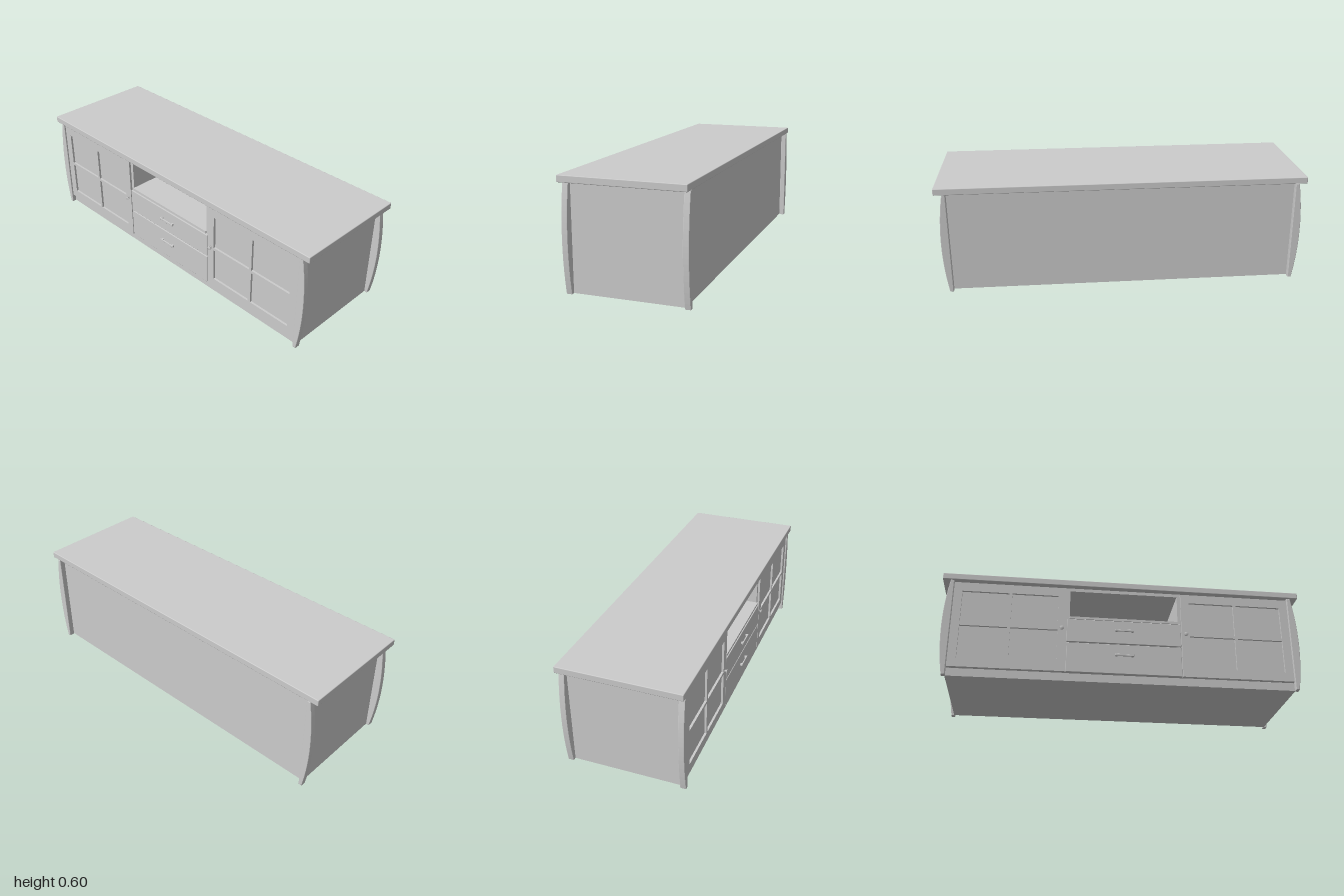
import * as THREE from 'three';
import { RoundedBoxGeometry } from 'three/addons/geometries/RoundedBoxGeometry.js';

const grey = new THREE.MeshStandardMaterial({ color: 0xcccccc });

// Built with its doors facing local +z, then turned so they face -x.
export function createModel() {
  const root = new THREE.Group();
  const cabinet = new THREE.Group();
  cabinet.name = 'mediaCabinet';
  cabinet.rotation.y = -Math.PI / 2;
  root.add(cabinet);

  const add = (name, geometry, x = 0, y = 0, z = 0) => {
    const mesh = new THREE.Mesh(geometry, grey);
    mesh.name = name;
    mesh.position.set(x, y, z);
    cabinet.add(mesh);
    return mesh;
  };
  // Box given by its limits; radius > 0 rounds the edges
  const box = (name, x0, x1, y0, y1, z0, z1, radius = 0) => {
    const size = [x1 - x0, y1 - y0, z1 - z0];
    const geometry = radius
      ? new RoundedBoxGeometry(...size, 2, radius)
      : new THREE.BoxGeometry(...size);
    return add(name, geometry, (x0 + x1) / 2, (y0 + y1) / 2, (z0 + z1) / 2);
  };

  // Top board
  box('topBoard', -1, 1, 0.564, 0.6, -0.327, 0.327, 0.004);

  // Carcass panels
  box('backPanel', -0.94, 0.94, 0.002, 0.564, -0.295, -0.28);
  box('floorPanel', -0.94, 0.94, 0.002, 0.05, -0.28, 0.288);
  box('plinth', -0.94, 0.94, 0.002, 0.045, 0.288, 0.296);
  box('topRail', -0.94, 0.94, 0.545, 0.564, -0.28, 0.296);
  for (const s of [-1, 1]) {
    const a = s * 0.94, b = s * 0.92;
    box('sidePanel', Math.min(a, b), Math.max(a, b), 0.002, 0.564, -0.28, 0.288);
    box('divider', s * 0.31 - 0.01, s * 0.31 + 0.01, 0.05, 0.545, -0.28, 0.3);
  }

  // Corner posts with a bowed outer edge
  const bevel = 0.003;
  const postShape = new THREE.Shape();
  postShape.moveTo(0.94, bevel);
  postShape.lineTo(0.957 - bevel, bevel);
  postShape.quadraticCurveTo(1.007 - bevel, 0.282, 0.957 - bevel, 0.564 - bevel);
  postShape.lineTo(0.94, 0.564 - bevel);
  postShape.closePath();
  const postGeometry = new THREE.ExtrudeGeometry(postShape, {
    depth: 0.032 - 2 * bevel, curveSegments: 20,
    bevelThickness: bevel, bevelSize: bevel, bevelSegments: 2,
  });
  postGeometry.translate(0, 0, -0.016 + bevel);
  for (const z of [0.304, -0.311]) {
    add('leftPost', postGeometry, 0, 0, z);
    add('rightPost', postGeometry, 0, 0, z).rotation.y = Math.PI;
  }

  // Doors: frame with four panes
  const rectangle = (target, x0, x1, y0, y1) => {
    target.moveTo(x0, y0);
    target.lineTo(x1, y0);
    target.lineTo(x1, y1);
    target.lineTo(x0, y1);
    target.closePath();
    return target;
  };
  const doorShape = rectangle(new THREE.Shape(), -0.308, 0.308, 0.05, 0.552);
  for (const [x0, x1] of [[-0.262, -0.008], [0.008, 0.262]]) {
    for (const [y0, y1] of [[0.1, 0.293], [0.309, 0.502]]) {
      doorShape.holes.push(rectangle(new THREE.Path(), x0, x1, y0, y1));
    }
  }
  const doorGeometry = new THREE.ExtrudeGeometry(doorShape, { depth: 0.022, bevelEnabled: false });

  // Door knob, flared towards the front
  const knobGeometry = new THREE.LatheGeometry([
    [0, 0], [0.009, 0], [0.005, 0.004], [0.005, 0.007], [0.012, 0.012], [0.011, 0.015], [0, 0.016],
  ].map(([r, h]) => new THREE.Vector2(r, h)), 20);
  knobGeometry.rotateX(Math.PI / 2);

  for (const s of [-1, 1]) {
    add('doorFrame', doorGeometry, s * 0.627, 0, 0.29);
    box('doorGlass', s * 0.627 - 0.27, s * 0.627 + 0.27, 0.09, 0.51, 0.296, 0.3);
    add('doorKnob', knobGeometry, s * 0.342, 0.303, 0.311);
  }

  // Open compartment shelf and the two drawers below it
  box('shelf', -0.3, 0.3, 0.368, 0.382, -0.28, 0.308);
  for (const [y0, y1, handleY] of [[0.05, 0.222, 0.155], [0.228, 0.364, 0.303]]) {
    box('drawerFront', -0.314, 0.314, y0, y1, 0.27, 0.312, 0.002);
    box('drawerHandle', -0.052, 0.052, handleY - 0.006, handleY + 0.006, 0.32, 0.327, 0.002);
    for (const s of [-1, 1]) {
      box('handleFoot', s * 0.043 - 0.006, s * 0.043 + 0.006, handleY - 0.005, handleY + 0.005, 0.31, 0.322);
    }
  }
  return root;
}
